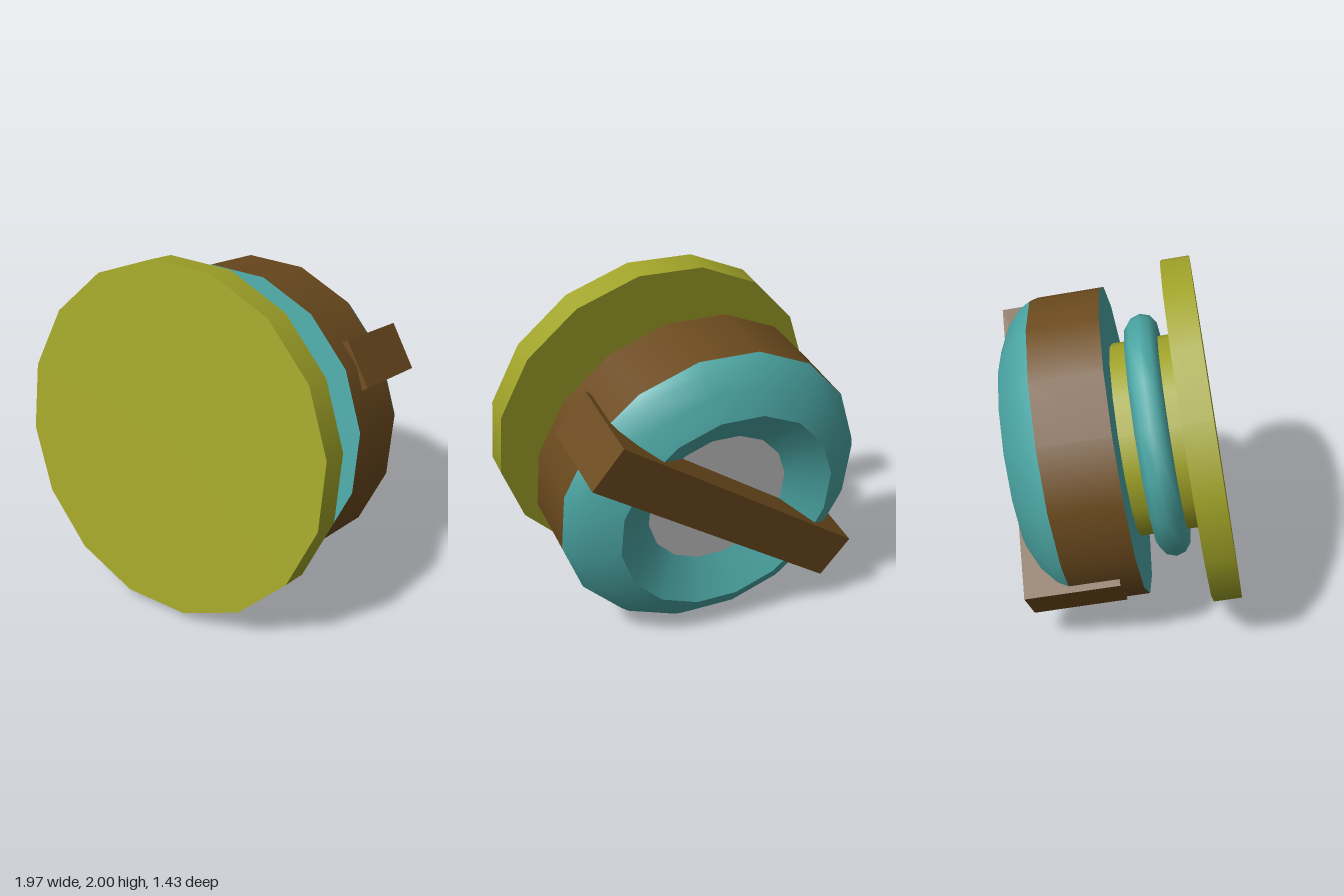
import * as THREE from 'three';

const SIDES = 16;
const SPIN = Math.PI / SIDES + THREE.MathUtils.degToRad(1.1);
const material = (color) => new THREE.MeshStandardMaterial({ color });

export function createModel() {
  const model = new THREE.Group();
  model.name = 'dial';
  // Local +z is the main axis, tilted slightly upward
  const axis = new THREE.Group();
  axis.name = 'tiltedAssembly';
  axis.position.set(0, 1.0325, 0.545);
  axis.rotation.x = -THREE.MathUtils.degToRad(10);
  model.add(axis);

  const olive = material(0xa0a328);
  const teal = material(0x4ba6a4);
  const brown = material(0x6b4a1e);
  const grey = material(0xcccccc);

  const add = (name, geometry, mat) => {
    const mesh = new THREE.Mesh(geometry, mat);
    mesh.name = name;
    axis.add(mesh);
    return mesh;
  };

  // Cylinder along z from back to front
  const drum = (name, radius, back, front, mat, open = false) => {
    const g = new THREE.CylinderGeometry(radius, radius, front - back, SIDES, 1, open);
    g.rotateX(Math.PI / 2).rotateZ(SPIN).translate(0, 0, (front + back) / 2);
    return add(name, g, mat);
  };

  // Revolved [radius, z] profile around z
  const revolve = (name, points, mat) => {
    const g = new THREE.LatheGeometry(points.map(([r, z]) => new THREE.Vector2(r, z)), SIDES);
    g.rotateX(Math.PI / 2).rotateZ(SPIN);
    return add(name, g, mat);
  };

  // Front plate and its hub
  drum('frontPlate', 1.0, -0.163, 0, olive);
  drum('hub', 0.565, -0.53, -0.15, olive);

  // Rounded ring around the hub
  const ring = new THREE.TorusGeometry(0.615, 0.095, 10, SIDES);
  ring.rotateZ(SPIN).translate(0, 0, -0.335);
  add('hubRing', ring, teal);

  // Rear body: side band, front cover, rounded rear rim with a dished centre
  drum('bodyBand', 0.9, -0.915, -0.52, brown, true);
  revolve('bodyFront', [[0.9, -0.52], [0, -0.52]], teal);
  revolve('rearRim', [[0.64, -1.13], [0.775, -1.06], [0.868, -0.975], [0.9, -0.915]], teal);
  revolve('rearDish', [[0.42, -0.99], [0.64, -1.13]], teal);
  revolve('rearCentre', [[0, -0.99], [0.42, -0.99]], grey);

  // Diagonal grip bar across the back
  const bar = add('gripBar', new THREE.BoxGeometry(1.82, 0.28, 0.53), brown);
  bar.position.z = -0.9;
  bar.rotation.z = THREE.MathUtils.degToRad(35);

  return model;
}
